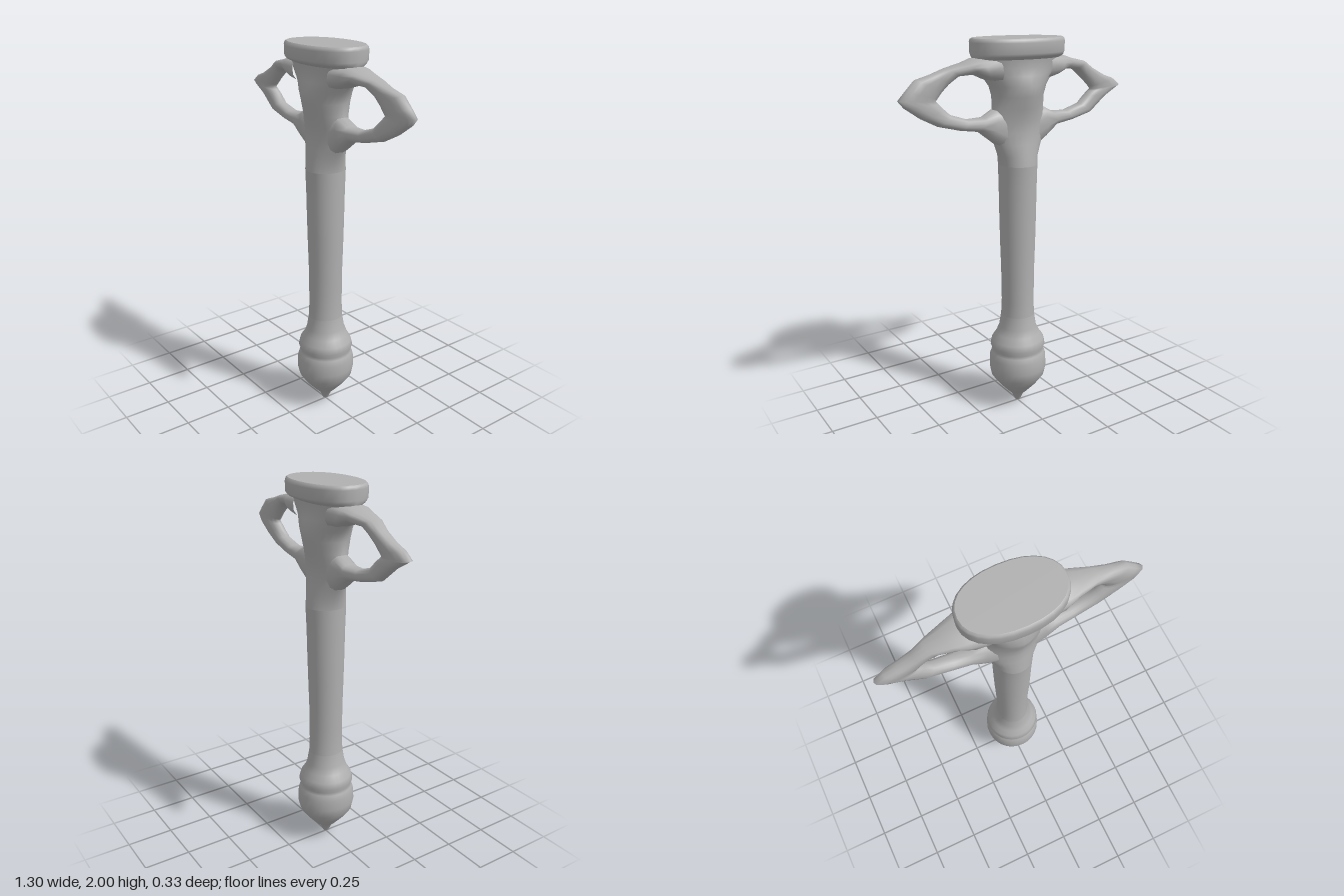
import * as THREE from 'three';

// Skin over a list of rings (each an equal-length array of Vector3)
function loft(rings, flip, capEnd) {
  const n = rings[0].length, pos = [], idx = [];
  const tri = (a, b, c) => (flip ? idx.push(a, c, b) : idx.push(a, b, c));
  rings.forEach(r => r.forEach(p => pos.push(p.x, p.y, p.z)));
  for (let i = 0; i < rings.length - 1; i++) {
    for (let j = 0; j < n; j++) {
      const a = i * n + j, b = i * n + (j + 1) % n;
      tri(a, a + n, b);
      tri(b, a + n, b + n);
    }
  }
  if (capEnd) { // own vertices keep the rim crisp
    const last = rings[rings.length - 1], base = pos.length / 3;
    last.forEach(p => pos.push(p.x, p.y, p.z));
    pos.push(0, last[0].y, 0);
    for (let j = 0; j < n; j++) tri(base + j, base + n, base + (j + 1) % n);
  }
  const g = new THREE.BufferGeometry();
  g.setAttribute('position', new THREE.Float32BufferAttribute(pos, 3));
  g.setIndex(idx);
  g.computeVertexNormals();
  return g;
}

// Superellipse point: exponent 2 is round, lower is diamond, higher is boxy
function oval(a, e) {
  const f = v => Math.sign(v) * Math.pow(Math.abs(v), 2 / e);
  return [f(Math.cos(a)), f(Math.sin(a))];
}

function ring(n, e, place) {
  return Array.from({ length: n }, (_, j) => place(...oval(j / n * Math.PI * 2, e)));
}

export function createModel() {
  const model = new THREE.Group();
  const grey = new THREE.MeshStandardMaterial({ color: 0xb0b0b0 });
  grey.name = 'grey';
  const add = (name, geometry) => {
    const m = new THREE.Mesh(geometry, grey);
    m.name = name;
    model.add(m);
  };
  // Rows: y, half width, half depth, section exponent
  const column = rows => rows.map(([y, w, d, e = 2]) =>
    ring(28, e, (c, s) => new THREE.Vector3(c * w, y, s * d)));

  // Pommel with pointed end and grooved collar
  add('pommel', loft(column([
    [0, 0.003, 0.003], [0.01, 0.016, 0.016], [0.05, 0.034, 0.034], [0.075, 0.06, 0.06],
    [0.13, 0.11, 0.11], [0.18, 0.147, 0.145], [0.23, 0.155, 0.158], [0.29, 0.155, 0.153],
    [0.32, 0.145, 0.143], [0.335, 0.138, 0.135], [0.36, 0.15, 0.148], [0.395, 0.143, 0.138],
    [0.43, 0.118, 0.118], [0.47, 0.1, 0.104], [0.54, 0.089, 0.093]
  ])));

  // Shaft
  add('shaft', loft(column([
    [0.54, 0.089, 0.093], [0.62, 0.085, 0.09], [0.7, 0.087, 0.09], [0.8, 0.088, 0.09],
    [0.95, 0.093, 0.094], [1.1, 0.096, 0.098], [1.25, 0.098, 0.101], [1.37, 0.1, 0.106]
  ])));

  // Flaring ridged neck up to the oval head
  add('neck', loft(column([
    [1.37, 0.1, 0.106], [1.42, 0.108, 0.1, 1.9], [1.48, 0.135, 0.09, 1.75], [1.54, 0.16, 0.083, 1.6],
    [1.6, 0.16, 0.088, 1.6], [1.66, 0.145, 0.104, 1.7], [1.72, 0.143, 0.122, 1.7],
    [1.77, 0.16, 0.132, 1.65], [1.82, 0.2, 0.118, 1.7], [1.86, 0.232, 0.108, 1.9], [1.9, 0.245, 0.114, 2]
  ])));
  add('head', loft(column([
    [1.9, 0.245, 0.114, 2], [1.915, 0.25, 0.148, 2.15], [1.93, 0.252, 0.161, 2.2],
    [1.98, 0.253, 0.163, 2.2], [1.993, 0.25, 0.158, 2.2], [2, 0.242, 0.15, 2.2]
  ]), false, true));

  // Looped side arms: inner edge x, y, outer edge x, y, half depth
  const rightArm = [
    [0.13, 1.79, 0.15, 1.92, 0.1], [0.19, 1.805, 0.25, 1.91, 0.095], [0.25, 1.835, 0.31, 1.89, 0.075],
    [0.34, 1.83, 0.4, 1.87, 0.05], [0.39, 1.795, 0.48, 1.845, 0.04], [0.425, 1.76, 0.56, 1.825, 0.037],
    [0.45, 1.73, 0.61, 1.775, 0.037], [0.455, 1.72, 0.65, 1.735, 0.032], [0.445, 1.71, 0.62, 1.7, 0.035],
    [0.42, 1.685, 0.54, 1.645, 0.035], [0.38, 1.65, 0.45, 1.6, 0.036], [0.29, 1.622, 0.33, 1.57, 0.04],
    [0.2, 1.625, 0.23, 1.555, 0.05], [0.14, 1.66, 0.16, 1.5, 0.06], [0.06, 1.65, 0.08, 1.44, 0.06]
  ];
  const leftTweak = { 4: [0.37, 1.805, 0.46, 1.83], 5: [0.41, 1.77, 0.54, 1.79], 6: [0.445, 1.735, 0.6, 1.77],
    8: [0.445, 1.71, 0.63, 1.725], 9: [0.42, 1.69, 0.55, 1.68] };
  for (const side of [1, -1]) {
    const rows = rightArm.map((r, i) => (side < 0 && leftTweak[i] ? [...leftTweak[i], r[4]] : r));
    const rings = rows.map(([ix, iy, ox, oy, d]) => ring(14, 2.4, (c, s) => new THREE.Vector3(
      side * ((ix + ox) / 2 + c * (ox - ix) / 2), (iy + oy) / 2 + c * (oy - iy) / 2, s * d)));
    add(side > 0 ? 'leftArm' : 'rightArm', loft(rings, side > 0));
  }
  return model;
}
